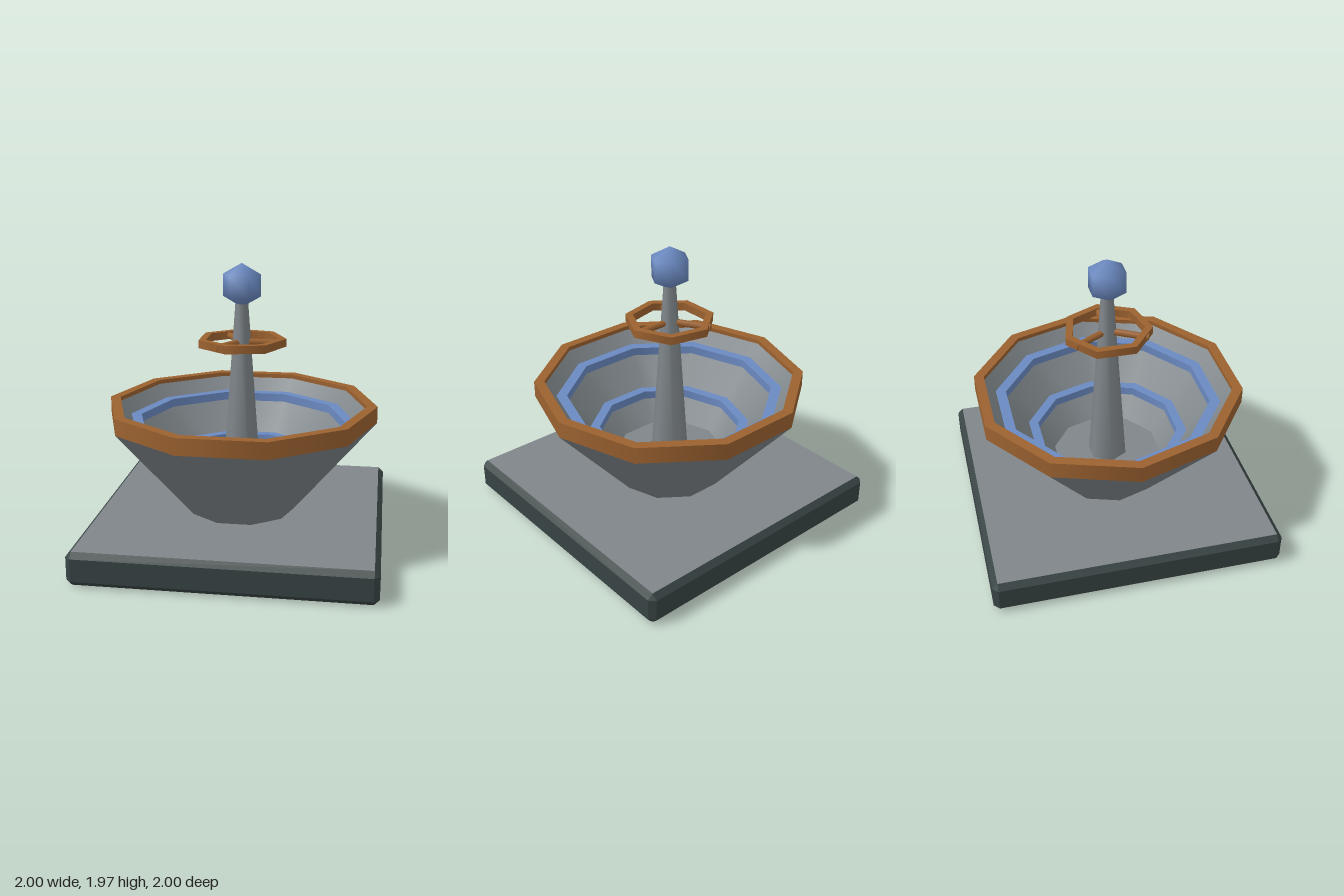
import * as THREE from 'three';
import { mergeGeometries } from 'three/addons/utils/BufferGeometryUtils.js';
import { ConvexGeometry } from 'three/addons/geometries/ConvexGeometry.js';

const material = (name, color) => {
  const m = new THREE.MeshStandardMaterial({ color });
  m.name = name;
  return m;
};

// Turned solid: smooth around the axis, sharp between profile segments, one corner on +x
function turned(profile, sides) {
  const bands = [];
  for (let i = 0; i < profile.length - 1; i++) {
    const pair = [profile[i], profile[i + 1]].map(([r, y]) => new THREE.Vector2(r, y));
    bands.push(new THREE.LatheGeometry(pair, sides, Math.PI / 2));
  }
  return mergeGeometries(bands);
}

// Flat ring with a rectangular section
const ring = (inner, outer, bottom, top, sides) => turned(
  [[inner, bottom], [outer, bottom], [outer, top], [inner, top], [inner, bottom]], sides);

// Box chamfered on all edges; top and bottom faces get material 0, the rest material 1
function chamferedSlab(half, height, c) {
  const points = [];
  const h = height / 2;
  for (const sx of [-1, 1]) for (const sy of [-1, 1]) for (const sz of [-1, 1]) {
    for (let axis = 0; axis < 3; axis++) {
      points.push(new THREE.Vector3(
        sx * (half - (axis === 0 ? 0 : c)),
        h + sy * (h - (axis === 1 ? 0 : c)),
        sz * (half - (axis === 2 ? 0 : c))));
    }
  }
  const geometry = new ConvexGeometry(points);
  const normal = geometry.attributes.normal;
  for (let i = 0; i < normal.count; i += 3) {
    geometry.addGroup(i, 3, Math.abs(normal.getY(i)) > 0.9 ? 0 : 1);
  }
  return geometry;
}

export function createModel() {
  const group = new THREE.Group();
  const stone = material('stone grey', 0x7f868a);
  const slate = material('dark slate', 0x394444);
  const bronze = material('bronze', 0x9c6230);
  const blue = material('water blue', 0x6b8ac2);

  const add = (name, geometry, mat) => {
    const mesh = new THREE.Mesh(geometry, mat);
    mesh.name = name;
    group.add(mesh);
    return mesh;
  };

  // Base slab
  add('base', chamferedSlab(1, 0.23, 0.037), [stone, slate]);

  // Thick-walled basin with a raised floor
  add('basin', turned([[0.38, 0.23], [0.94, 0.885], [0.87, 0.97], [0.385, 0.4], [0, 0.4]], 10), stone);
  add('basinRim', ring(0.87, 0.94, 0.885, 1, 10), bronze);

  // Stepped bands inside the basin
  add('upperBand', ring(0.72, 0.793, 0.82, 0.88, 10), blue);
  add('lowerBand', ring(0.5, 0.568, 0.555, 0.615, 10), blue);

  // Central post and finial
  add('post', turned([[0.139, 0.4], [0.044, 1.7], [0, 1.7]], 6), stone);
  add('finial', new THREE.SphereGeometry(0.15, 6, 3), blue).position.y = 1.815;

  // Small ring held by three spokes
  add('postRing', ring(0.255, 0.307, 1.4, 1.455, 7), bronze);
  for (let i = 0; i < 3; i++) {
    const spoke = new THREE.CylinderGeometry(0.023, 0.023, 0.29, 6);
    spoke.rotateZ(-Math.PI / 2).translate(0.145, 1.427, 0).rotateY(i * Math.PI * 2 / 3);
    add('spoke', spoke, bronze);
  }

  return group;
}
